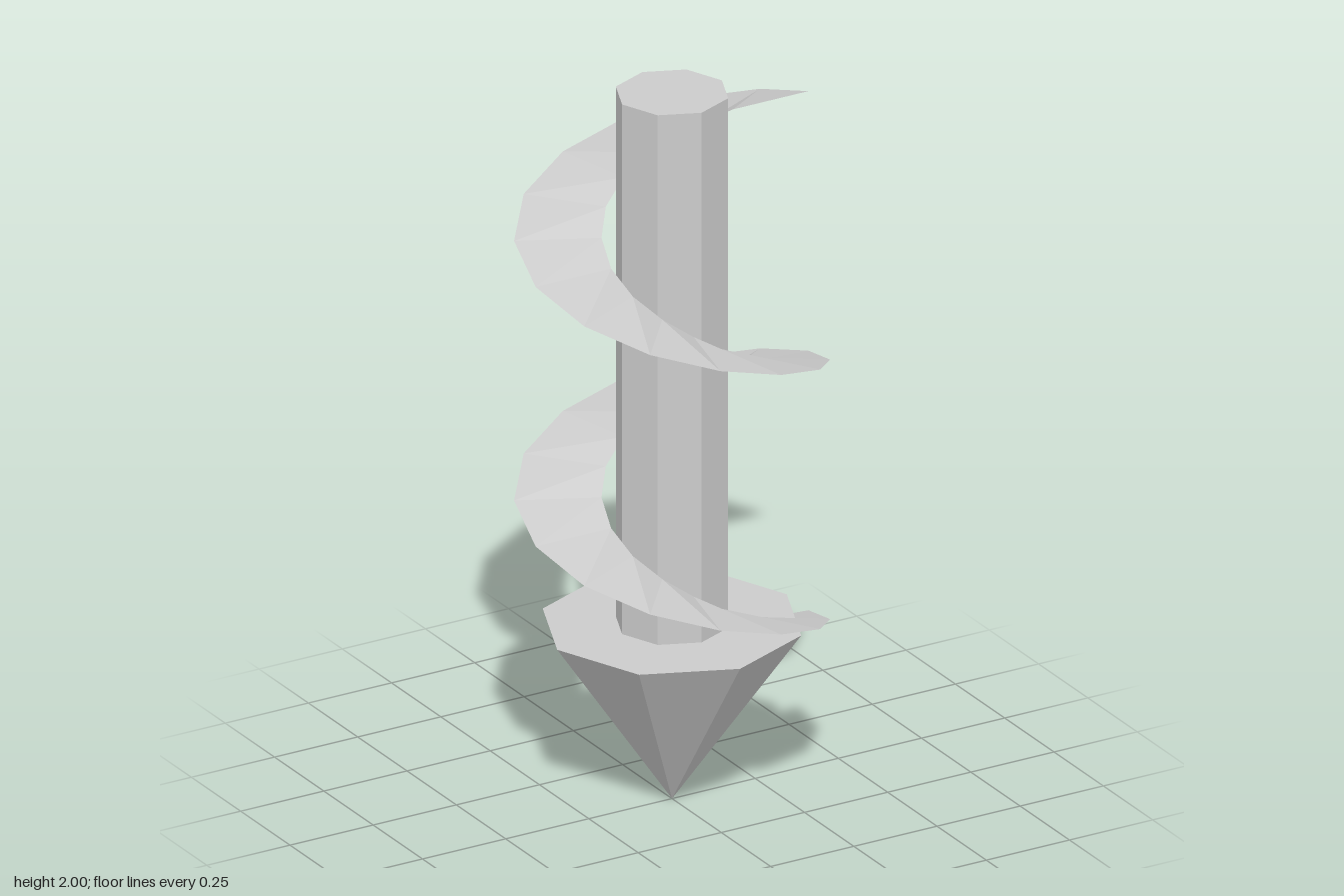
import * as THREE from 'three';

const SIDES = 8;

// Flat ribbon winding up around the y axis, from +x towards +z
function helicalRibbon(inner, outer, bottom, top, turns, perTurn) {
  const steps = turns * perTurn;
  const positions = [];
  const index = [];
  for (let i = 0; i <= steps; i++) {
    const a = (i / perTurn) * Math.PI * 2;
    const y = bottom + ((top - bottom) * i) / steps;
    for (const r of [inner, outer]) positions.push(r * Math.cos(a), y, r * Math.sin(a));
    if (i < steps) {
      const k = i * 2;
      index.push(k, k + 2, k + 1, k + 1, k + 2, k + 3);
    }
  }
  const geometry = new THREE.BufferGeometry();
  geometry.setAttribute('position', new THREE.Float32BufferAttribute(positions, 3));
  geometry.setIndex(index);
  geometry.computeVertexNormals();
  return geometry;
}

export function createModel() {
  const model = new THREE.Group();
  model.name = 'auger';
  const grey = new THREE.MeshStandardMaterial({ color: 0xcccccc, flatShading: true });
  const thinGrey = new THREE.MeshStandardMaterial({
    color: 0xcccccc, flatShading: true, side: THREE.DoubleSide,
  });

  const add = (name, geometry, material, y = 0) => {
    const mesh = new THREE.Mesh(geometry, material);
    mesh.name = name;
    mesh.position.y = y;
    model.add(mesh);
  };

  // Octagonal shaft standing on the drill point
  add('shaft', new THREE.CylinderGeometry(0.15, 0.15, 1.5, SIDES), grey, 1.25);

  // Downward pointing tip
  add('drillPoint', new THREE.ConeGeometry(0.345, 0.5, SIDES).rotateX(Math.PI), grey, 0.25);

  // Two turns of screw blade, clear of the shaft
  add('screwBlade', helicalRibbon(0.183, 0.41, 0.44, 1.91, 2, 14), thinGrey);

  return model;
}
